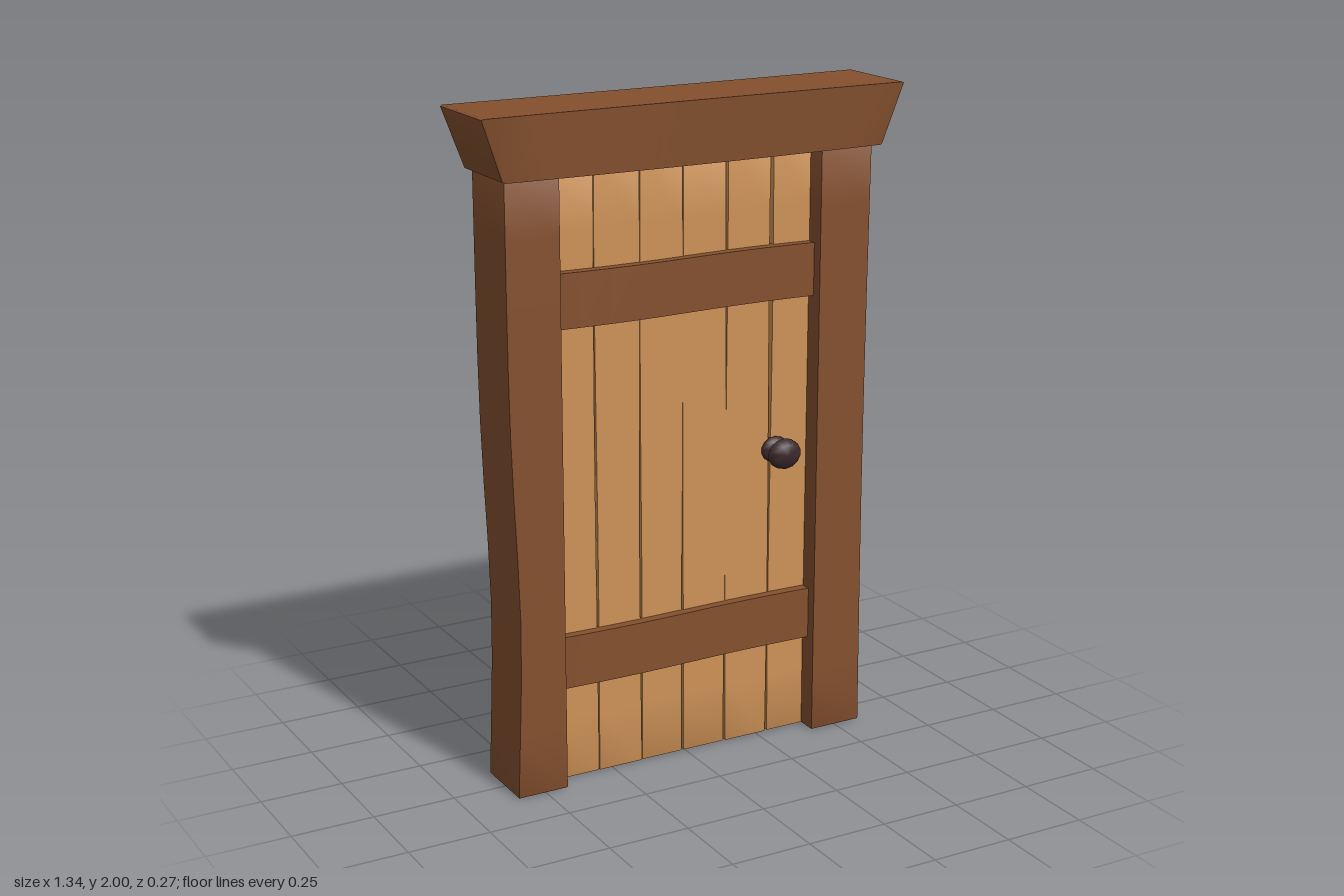
import * as THREE from 'three';
import { toCreasedNormals } from 'three/addons/utils/BufferGeometryUtils.js';

const wood = new THREE.MeshStandardMaterial({ color: 0x84502e });
wood.name = 'dark frame wood';
const plankWood = new THREE.MeshStandardMaterial({ color: 0xce9257 });
plankWood.name = 'light plank wood';
const iron = new THREE.MeshStandardMaterial({ color: 0x3c292c });
iron.name = 'dark knob';

// Soft-edged beam between two corners, running along 'x' or 'y', bent by a rule
function beam(name, material, min, max, axis, r, warp) {
  const size = max.map((v, i) => v - min[i]);
  const along = axis === 'x' ? 0 : 1;
  const w = size[1 - along] / 2 - r, d = size[2] / 2 - r, len = size[along];
  const s = new THREE.Shape();
  s.moveTo(-w, -d);
  s.lineTo(w, -d);
  s.lineTo(w, d);
  s.lineTo(-w, d);
  s.closePath();
  const geo = new THREE.ExtrudeGeometry(s, {
    depth: len - 2 * r, steps: 10, bevelEnabled: true,
    bevelThickness: r, bevelSize: r, bevelSegments: 2,
  });
  geo.translate(0, 0, r - len / 2);
  // shape x, shape y, depth -> world axes
  if (axis === 'y') geo.rotateX(-Math.PI / 2);
  else geo.rotateX(-Math.PI / 2).rotateZ(-Math.PI / 2);
  geo.translate(...min.map((v, i) => (v + max[i]) / 2));
  const p = geo.attributes.position;
  const v = new THREE.Vector3();
  for (let i = 0; i < p.count; i++) {
    v.fromBufferAttribute(p, i);
    warp(v);
    p.setXYZ(i, v.x, v.y, v.z);
  }
  const mesh = new THREE.Mesh(toCreasedNormals(geo, 0.6), material);
  mesh.name = name;
  return mesh;
}

export function createModel() {
  const door = new THREE.Group();
  door.name = 'door';

  // Side posts, the right one pinched on its outer face
  door.add(beam('rightPost', wood, [-0.595, 0, -0.1], [-0.43, 1.84, 0.1], 'y', 0.005, v => {
    if (v.x < -0.5) v.x += 0.024 * Math.exp(-(((v.y - 0.5) / 0.45) ** 2));
    v.z *= 1 + 0.03 * v.y / 1.84;
  }));
  door.add(beam('leftPost', wood, [0.415, 0, -0.1], [0.585, 1.84, 0.1], 'y', 0.005, v => {
    if (v.x > 0.5) v.x -= 0.006 * Math.sin(v.y * 1.7);
    v.z *= 1 + 0.03 * v.y / 1.84;
  }));

  // Flared lintel with a slightly hollow face
  door.add(beam('lintel', wood, [-0.61, 1.82, -0.125], [0.61, 2, 0.125], 'x', 0.01, v => {
    const t = (v.y - 1.82) / 0.18;
    const mid = 1 - (v.x / 0.61) ** 2;
    v.z *= 1 + 0.1 * t - 0.045 * mid;
    v.x *= 1 + 0.107 * t;
    if (t < 0.5) v.y -= 0.004 * mid;
  }));

  // Vertical planks with uneven gaps
  const seams = [-0.432, -0.295, -0.15, -0.01, 0.136, 0.286, 0.418];
  const gaps = [0, 0.005, 0.004, 0.003, 0.004, 0.008, 0];
  for (let i = 0; i < 6; i++) {
    const x0 = seams[i] + gaps[i] / 2, x1 = seams[i + 1] - gaps[i + 1] / 2;
    door.add(beam('plank' + (i + 1), plankWood, [x0, 0, -0.04], [x1, 1.84, 0.04], 'y', 0.006, v => {
      const side = v.x > (x0 + x1) / 2 ? 1 : -1;
      const inner = side > 0 ? i < 5 : i > 0;
      if (inner) v.x += side * 0.002 * Math.cos(v.y * 3.4 + i);
      v.z += 0.0015 * Math.sin(v.y * 2.5 + i * 2);
    }));
  }

  // Cross rails, standing proud on both faces
  for (const [name, y] of [['lowerRail', 0.3], ['upperRail', 1.38]]) {
    door.add(beam(name, wood, [-0.435, y, -0.07], [0.42, y + 0.16, 0.07], 'x', 0.008, v => {
      v.y += 0.002 * Math.sin(v.x * 8);
    }));
  }

  // Knob with base plate and neck, front and back
  const profile = [[0, 0.034], [0.046, 0.034], [0.046, 0.046], [0.036, 0.056], [0.022, 0.06],
    [0.022, 0.074], [0.043, 0.08], [0.054, 0.092], [0.052, 0.105], [0.038, 0.117], [0, 0.121]]
    .map(([r, z]) => new THREE.Vector2(r, z));
  const knobGeo = toCreasedNormals(new THREE.LatheGeometry(profile, 14).rotateX(Math.PI / 2), 0.8);
  for (const side of ['front', 'back']) {
    const knob = new THREE.Mesh(knobGeo, iron);
    knob.name = side + 'Knob';
    knob.position.set(0.305, 0.915, 0);
    knob.scale.y = 0.86;
    if (side === 'back') knob.rotation.y = Math.PI;
    door.add(knob);
  }
  return door;
}
